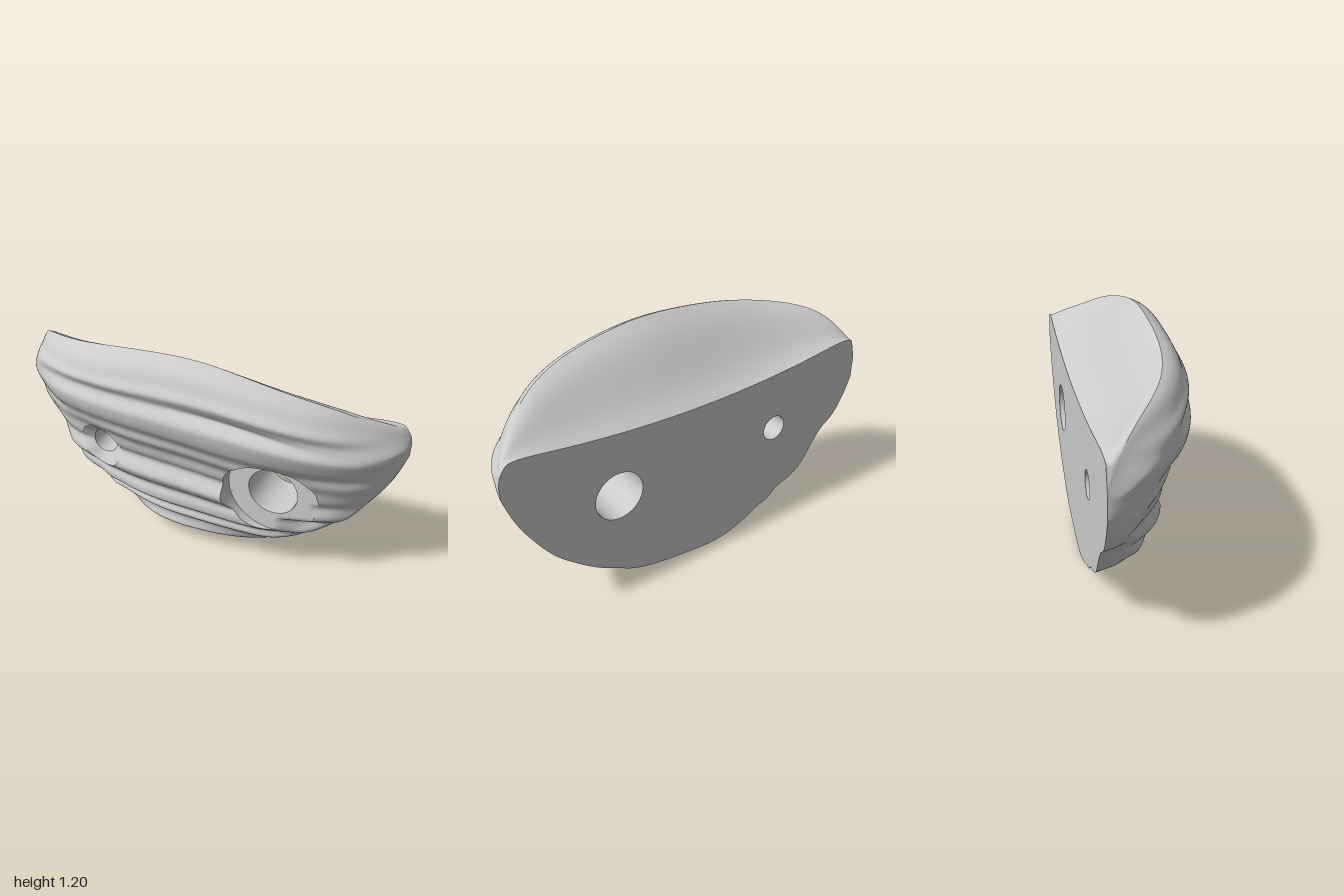
import * as THREE from 'three';

const BACK = -0.24;
const RECESS = { x: 0.445, y: 0.545, rim: 0.23, bore: 0.125, floor: 0.02 };
const SINK = { x: -0.475, y: 0.57, rim: 0.125, bore: 0.067, floor: 0.04 };

// Smooth curve through [t, value] points
function curve(pts) {
  const slope = i => {
    const a = pts[Math.max(i - 1, 0)], b = pts[Math.min(i + 1, pts.length - 1)];
    return (b[1] - a[1]) / (b[0] - a[0]);
  };
  return t => {
    let i = 0;
    while (i < pts.length - 2 && t > pts[i + 1][0]) i++;
    const [x0, y0] = pts[i], [x1, y1] = pts[i + 1], h = x1 - x0;
    const s = THREE.MathUtils.clamp((t - x0) / h, 0, 1), s2 = s * s, s3 = s2 * s;
    return y0 * (2 * s3 - 3 * s2 + 1) + y1 * (3 * s2 - 2 * s3)
      + h * (slope(i) * (s3 - 2 * s2 + s) + slope(i + 1) * (s3 - s2));
  };
}

// Outline seen from the front
const lower = curve([[-1, 0.7], [-0.96, 0.6], [-0.9, 0.505], [-0.82, 0.44], [-0.76, 0.36], [-0.7, 0.27],
  [-0.63, 0.215], [-0.53, 0.175], [-0.47, 0.125], [-0.4, 0.1], [-0.3, 0.05], [-0.2, 0.015], [-0.1, 0.002],
  [0, 0.008], [0.2, 0.03], [0.37, 0.07], [0.5, 0.14], [0.58, 0.185], [0.7, 0.28], [0.8, 0.38],
  [0.9, 0.53], [0.96, 0.65], [1, 0.77]]);
const upper = curve([[-1, 0.82], [-0.97, 0.92], [-0.9, 1.02], [-0.8, 1.08], [-0.6, 1.13], [-0.3, 1.18],
  [0, 1.205], [0.2, 1.195], [0.5, 1.14], [0.7, 1.08], [0.85, 1.0], [0.95, 0.93], [0.99, 0.88], [1, 0.84]]);
const backTop = x => Math.min(upper(x), 0.86 + 0.095 * x * x - 0.05 * x ** 20);

// Depth: plan fullness of belly and top ridge, vertical profile, and layered ridges
const fullness = x => Math.sqrt(Math.max(0, 1 - Math.abs(x) ** 2.9));
const ridgeFullness = x => Math.max(0, 1 - Math.abs(x) ** 3.9);
const profile = curve([[0, BACK], [0.03, -0.14], [0.08, -0.05], [0.15, 0], [0.25, 0.055], [0.4, 0.11],
  [0.55, 0.145], [0.65, 0.19], [0.77, 0.225], [0.88, 0.218], [0.95, 0.18], [0.985, 0.14], [1, 0.1]]);
const layers = curve([[0, 0], [0.06, -0.012], [0.11, 0.024], [0.15, 0], [0.19, -0.014], [0.24, 0.01],
  [0.28, -0.014], [0.33, 0.016], [0.37, 0.01], [0.41, -0.014], [0.46, 0.014], [0.5, 0.022], [0.57, -0.026],
  [0.62, -0.014], [0.68, -0.012], [0.74, 0.002], [0.79, -0.002], [0.85, 0.014], [0.93, 0.018],
  [0.995, -0.016], [1.05, 0.008], [1.09, -0.004], [1.14, 0.004], [1.2, 0]]);
const bell = (d, w) => Math.exp(-(d * d) / (w * w));

function depth(x, y) {
  const { clamp, smoothstep, lerp } = THREE.MathUtils;
  const lo = lower(x), v = clamp((y - lo) / (upper(x) - lo), 0, 1);
  const t = y + 0.13 * y * x * x + 0.06 * x * (1 - y) + 0.006 * Math.sin(5 * x + 9 * y);
  const fade = smoothstep(v, 0, 0.1) * (1 - smoothstep(v, 0.88, 1));
  const groove = -0.025 * bell(y - 0.985 + 0.16 * x * x, 0.018) * bell(x - 0.35, 0.32);
  const dent = -0.04 * bell(x - 0.6, 0.11) * bell(y - 0.35, 0.06);
  const rough = 0.003 * Math.sin(5 * x + 38 * t) * Math.sin(4 * x - 21 * t);
  const full = lerp(fullness(x), ridgeFullness(x), smoothstep(v, 0.75, 1));
  return BACK + full * (profile(v) - BACK + fade * (layers(t) + groove + dent + rough));
}

// Surface through rows of points; keep() may leave out triangles
function loft(rows, keep = () => true) {
  const n = rows[0].length, flat = rows.flat(), index = [];
  const add = (...f) => { if (keep(...f.map(i => flat[i]))) index.push(...f); };
  for (let i = 0; i < rows.length - 1; i++) {
    for (let j = 0; j < n - 1; j++) {
      const a = i * n + j, d = a + n;
      add(a, a + 1, d + 1);
      add(a, d + 1, d);
    }
  }
  const geo = new THREE.BufferGeometry().setFromPoints(flat);
  geo.setIndex(index);
  geo.computeVertexNormals();
  return geo;
}

const COLS = 260, ROWS = 130;
const columns = Array.from({ length: COLS + 1 }, (_, j) => Math.sin((j / COLS - 0.5) * Math.PI));
const rowsOf = (n, fn) => Array.from({ length: n + 1 }, (_, i) => fn(i / n));

// Rippled face, with grid points pulled onto the rims of the two openings
function faceGeometry() {
  const holes = [RECESS, SINK];
  const rows = rowsOf(ROWS, v => columns.map(x0 => {
    let x = x0, y = THREE.MathUtils.lerp(lower(x0), upper(x0), v);
    for (const h of holes) {
      const d = Math.hypot(x - h.x, y - h.y);
      if (Math.abs(d - h.rim) < 0.0085) {
        x = h.x + (x - h.x) * h.rim / d;
        y = h.y + (y - h.y) * h.rim / d;
      }
    }
    return new THREE.Vector3(x, y, depth(x, y));
  }));
  return loft(rows, (a, b, c) => holes.every(h =>
    Math.hypot((a.x + b.x + c.x) / 3 - h.x, (a.y + b.y + c.y) / 3 - h.y) > h.rim));
}

// Sloping top, from the front ridge down to the back edge
function topGeometry() {
  return loft(rowsOf(16, s => columns.map(x => {
    const z = THREE.MathUtils.lerp(BACK + ridgeFullness(x) * 0.34, BACK, s);
    const y = THREE.MathUtils.lerp(upper(x), backTop(x), s);
    return new THREE.Vector3(x, y + 0.018 * Math.sin(s * Math.PI * 2) * ridgeFullness(x), z);
  })));
}

// Flat back with both bores cut through, drawn mirrored and turned to face backwards
function backGeometry() {
  const shape = new THREE.Shape([
    ...columns.map(x => new THREE.Vector2(-x, lower(x))),
    ...[...columns].reverse().map(x => new THREE.Vector2(-x, backTop(x)))]);
  for (const h of [RECESS, SINK]) {
    shape.holes.push(new THREE.Path().absarc(-h.x, h.y, h.bore, 0, Math.PI * 2, true));
  }
  return new THREE.ShapeGeometry(shape, 32).rotateY(Math.PI).translate(0, 0, BACK);
}

// Round surface about a hole axis, running from (r0, z0) to (r1, z1); z may follow the face
function roundGeometry(h, r0, z0, r1, z1, steps = 1) {
  return loft(rowsOf(steps, s => Array.from({ length: 97 }, (_, j) => {
    const a = j / 96 * Math.PI * 2, r = THREE.MathUtils.lerp(r0, r1, s);
    const x = h.x + r * Math.cos(a), y = h.y + r * Math.sin(a);
    return new THREE.Vector3(x, y, THREE.MathUtils.lerp(z0(x, y), z1(x, y), s));
  })));
}

export function createModel() {
  const model = new THREE.Group();
  model.name = 'climbingHold';
  const material = new THREE.MeshStandardMaterial({ color: 0xcccccc, side: THREE.DoubleSide });
  const add = (name, geo) => {
    const mesh = new THREE.Mesh(geo, material);
    mesh.name = name;
    model.add(mesh);
  };
  const back = () => BACK;
  const floor = (x, y) => Math.min(RECESS.floor, depth(x, y));
  const sinkFloor = () => SINK.floor;

  add('rippledFace', faceGeometry());
  add('slopingTop', topGeometry());
  add('flatBack', backGeometry());

  // Large bolt hole with a flat-bottomed recess
  add('recessWall', roundGeometry(RECESS, RECESS.rim, depth, RECESS.rim, floor));
  add('recessFloor', roundGeometry(RECESS, RECESS.rim, floor, RECESS.bore, floor, 8));
  add('boltBore', roundGeometry(RECESS, RECESS.bore, floor, RECESS.bore, back));

  // Small screw hole with a conical countersink
  add('countersink', roundGeometry(SINK, SINK.rim, depth, SINK.bore, sinkFloor));
  add('screwBore', roundGeometry(SINK, SINK.bore, sinkFloor, SINK.bore, back));
  return model;
}
